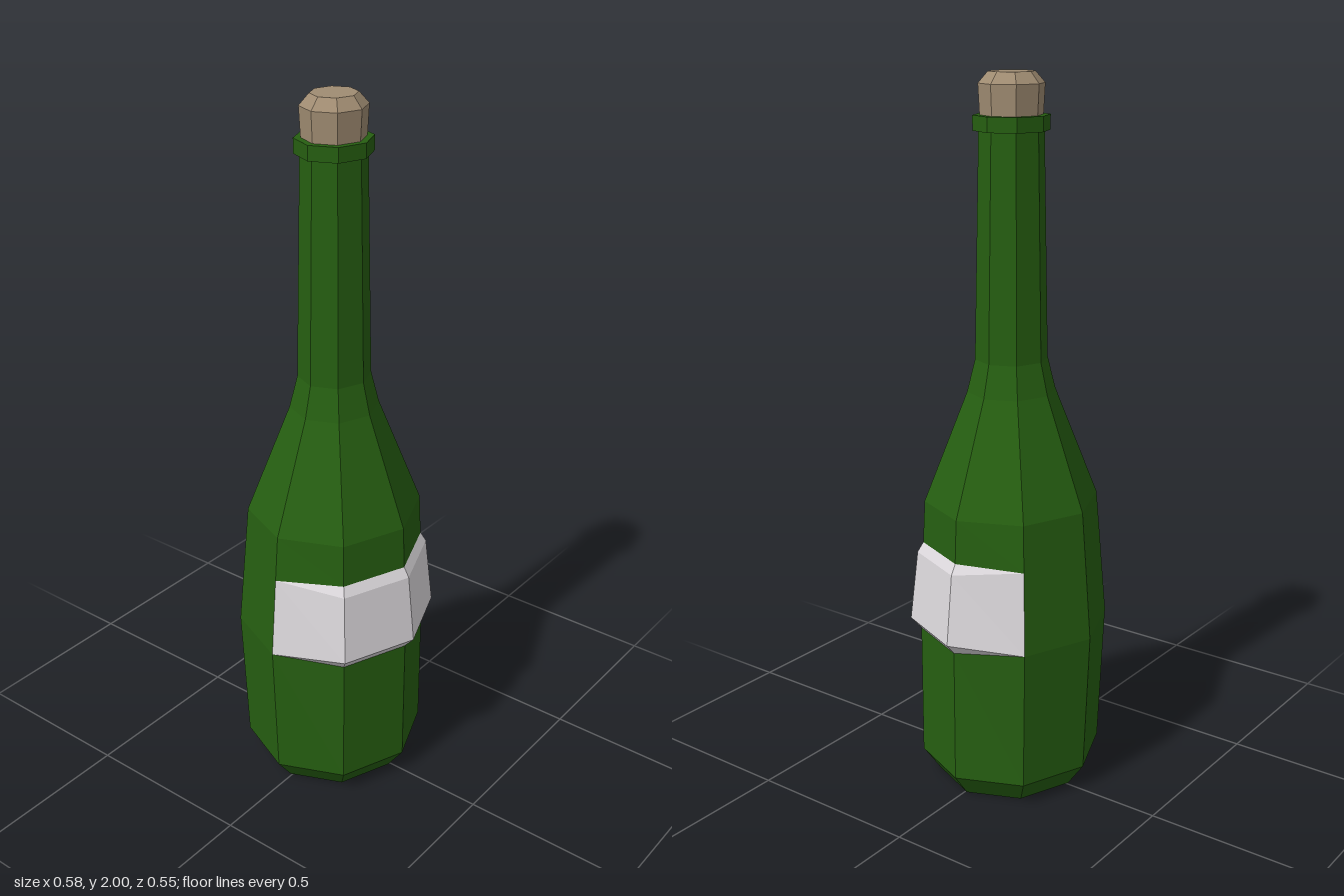
import * as THREE from 'three';

const SIDES = 8;
const DEPTH = 0.955; // the bottle is slightly flattened front to back

// Columns run round the bottle: 0 = +x, 2 = front, 4 = -x, 6 = back
function point(column, [radius, y]) {
  const a = (column / SIDES) * Math.PI * 2;
  return new THREE.Vector3(Math.cos(a) * radius, y, Math.sin(a) * radius * DEPTH);
}

// Skins neighbouring columns; profileAt(column) gives [radius, y] pairs from bottom to top
function skin(name, material, first, count, profileAt) {
  const positions = [];
  const triangle = (a, b, c) => {
    const area = b.clone().sub(a).cross(c.clone().sub(a)).length();
    if (area > 1e-7) for (const p of [a, b, c]) positions.push(p.x, p.y, p.z);
  };
  for (let i = first; i < first + count; i++) {
    const left = profileAt(i % SIDES).map((p) => point(i, p));
    const right = profileAt((i + 1) % SIDES).map((p) => point(i + 1, p));
    for (let j = 0; j < left.length - 1; j++) {
      triangle(left[j], left[j + 1], right[j + 1]);
      triangle(left[j], right[j + 1], right[j]);
    }
  }
  const geometry = new THREE.BufferGeometry();
  geometry.setAttribute('position', new THREE.Float32BufferAttribute(positions, 3));
  geometry.computeVertexNormals();
  const mesh = new THREE.Mesh(geometry, material);
  mesh.name = name;
  return mesh;
}

function flat(name, color) {
  const material = new THREE.MeshStandardMaterial({ color, flatShading: true });
  material.name = name;
  return material;
}

export function createModel() {
  const glass = flat('green glass', 0x265f11);
  const paper = flat('label paper', 0xdedade);
  const corkMaterial = flat('cork brown', 0xa08c72);

  const model = new THREE.Group();
  model.name = 'bottle';

  // Glass body, with a slight bulge on the columns the label does not wrap
  const bulgeLow = [0.284, 0.475];
  const bulgeHigh = [0.263, 0.71];
  const bodyProfile = (column) => [
    [0, 0], [0.215, 0], [0.267, 0.07],
    ...(column >= 4 ? [bulgeLow, bulgeHigh] : [[0.267, 0.455], [0.257, 0.72]]),
    [0.251, 0.84], [0.126, 1.15], [0.103, 1.24], [0.09, 1.85],
  ];
  model.add(skin('body', glass, 0, SIDES, bodyProfile));

  // Lip ring at the mouth
  model.add(skin('lip', glass, 0, SIDES, () => [
    [0.088, 1.85], [0.106, 1.85], [0.106, 1.89], [0, 1.89],
  ]));

  // Raised label with bevelled edges, tapering into the glass at both ends
  model.add(skin('label', paper, 7, 5, (column) =>
    column >= 4
      ? [bulgeLow, bulgeLow, bulgeHigh, bulgeHigh]
      : [[0.265, 0.455], [0.297, 0.49], [0.274, 0.69], [0.256, 0.72]]));

  // Cork with a chamfered top
  model.add(skin('cork', corkMaterial, 0, SIDES, () => [
    [0.086, 1.88], [0.091, 1.97], [0.064, 2], [0, 2],
  ]));

  for (const part of model.children) part.position.set(-0.007, 0, -0.006);
  return model;
}
